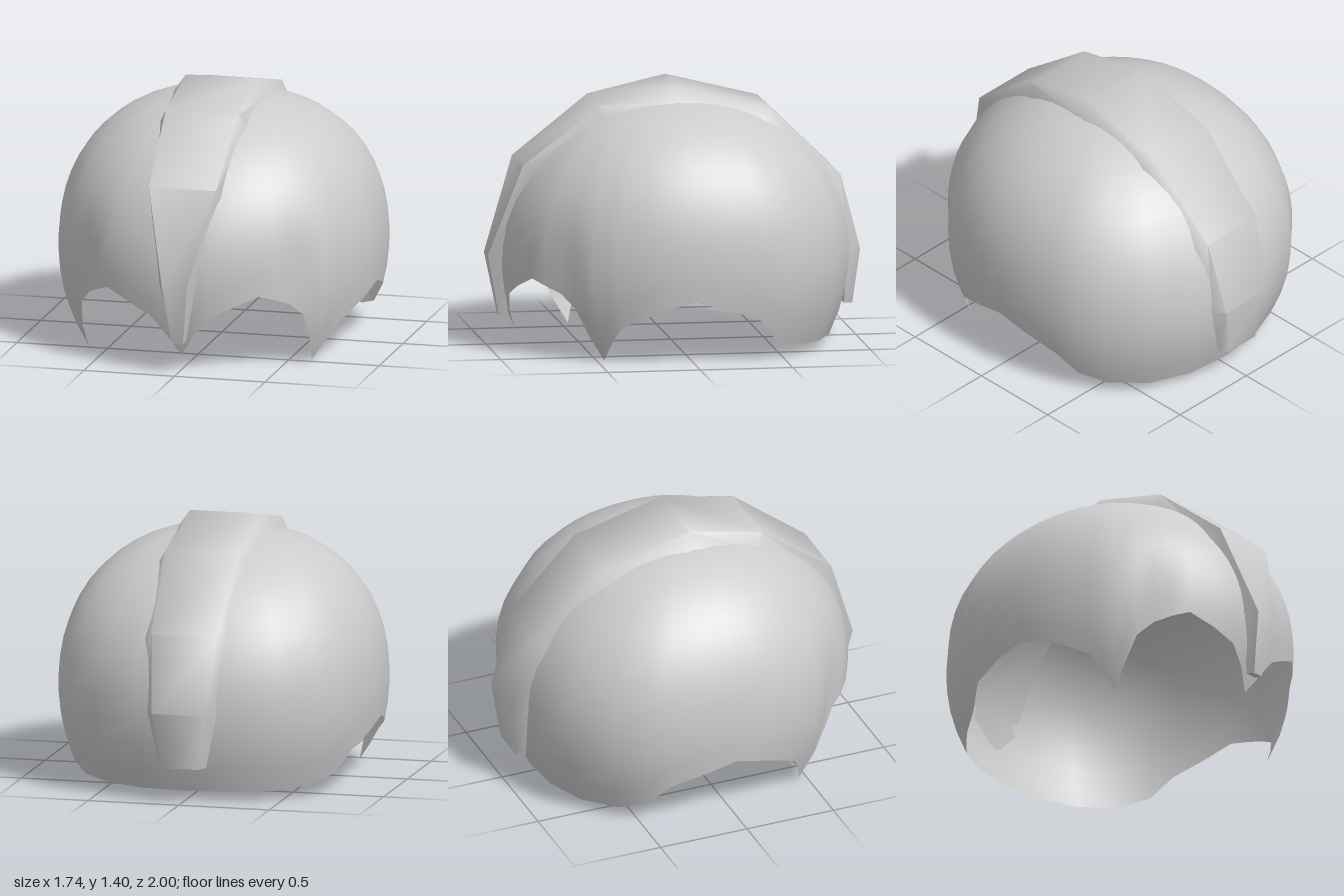
import * as THREE from 'three';
import { toCreasedNormals } from 'three/addons/utils/BufferGeometryUtils.js';

const TOP = 1.34, MID = 0.5;

// Surface grid from rows of points; wrap closes each row into a loop
function gridIndex(cols, rows) {
  const index = [];
  for (let j = 0; j < rows - 1; j++) {
    for (let i = 0; i < cols; i++) {
      const n = (i + 1) % cols;
      const a = j * cols + i, b = j * cols + n, c = b + cols, d = a + cols;
      index.push(a, b, c, a, c, d);
    }
  }
  return index;
}

function makeGeometry(positions, index) {
  const g = new THREE.BufferGeometry();
  g.setAttribute('position', new THREE.Float32BufferAttribute(positions, 3));
  g.setIndex(index);
  g.computeVertexNormals();
  return g;
}

// Radius of the shell at a heading (0 = front, 90 = side) and height
function shellRadius(deg, y) {
  const a = THREE.MathUtils.degToRad(deg);
  const s = Math.abs(Math.sin(a)), c = Math.abs(Math.cos(a));
  const front = deg < 90;
  let fx, fz;
  if (y > MID) {
    const h = Math.min(1, (y - MID) / (TOP - MID));
    fx = Math.pow(1 - Math.pow(h, 2.3), 1 / 2.3);
    fz = Math.pow(1 - Math.pow(h, 2.05), 1 / 2.05);
  } else {
    fx = fz = 1 - 0.55 * (MID - y) ** 2;
  }
  const rx = 0.868 * fx + 1e-4, rz = (front ? 0.935 : 0.945) * fz + 1e-4;
  const n = front ? 2 : 2.4;
  const r = Math.pow(Math.pow(s / rx, n) + Math.pow(c / rz, n), -1 / n);
  // Shallow fold running up from the gap beside each side point
  const fold = 0.03 * Math.exp(-(((deg - 41) / 7) ** 2)) * Math.exp(-(((y - 0.5) / 0.25) ** 2));
  return r - fold;
}

// Open shell with a pointed rim
function shellGeometry() {
  // heading in degrees, rim height
  const half = [
    [0, 0.08], [5, 0.2], [10, 0.3], [18, 0.36], [27, 0.42], [33, 0.39], [39, 0.355],
    [45, 0.28], [49, 0.14], [53.3, 0], [58, 0.1], [62.5, 0.19], [71, 0.25], [80, 0.3],
    [90, 0.34], [102, 0.29], [114, 0.23], [122, 0.11], [133, 0.06], [148, 0.05],
    [164, 0.048], [180, 0.048],
  ];
  const rim = half.map(([d, y]) => [d, y, 1]);
  for (let i = half.length - 2; i > 0; i--) rim.push([half[i][0], half[i][1], -1]);

  const rows = 17, positions = [];
  for (let j = 0; j < rows; j++) {
    const t = Math.sin((j / (rows - 1)) * Math.PI / 2);
    for (const [deg, low, side] of rim) {
      const y = low + (TOP - low) * t;
      const r = shellRadius(deg, y), a = THREE.MathUtils.degToRad(deg);
      positions.push(side * r * Math.sin(a), y, r * Math.cos(a));
    }
  }
  return makeGeometry(positions, gridIndex(rim.length, rows));
}

// Raised band from front tip over the crown to the back
function bandGeometry() {
  // z, y, half width on top, half width at the edge, thickness
  const path = [
    [0.935, 0.16, 0.03, 0.036, 0.05],
    [1.0, 0.49, 0.07, 0.1, 0.07],
    [0.83, 0.99, 0.185, 0.2, 0.08],
    [0.42, 1.31, 0.2, 0.24, 0.08],
    [0, 1.405, 0.2, 0.255, 0.08],
    [-0.5, 1.28, 0.2, 0.25, 0.08],
    [-0.89, 0.9, 0.18, 0.24, 0.08],
    [-1.0, 0.49, 0.15, 0.19, 0.07],
    [-0.965, 0.19, 0.1, 0.13, 0.05],
  ];
  const positions = [];
  path.forEach(([z, y, top, edge, thick], j) => {
    const p = path[Math.max(0, j - 1)], q = path[Math.min(path.length - 1, j + 1)];
    const dz = q[0] - p[0], dy = q[1] - p[1], len = Math.hypot(dz, dy);
    const iz = z - (dy / len) * thick, iy = y + (dz / len) * thick;
    positions.push(-edge, iy, iz, -top, y, z, top, y, z, edge, iy, iz);
  });
  const index = gridIndex(4, path.length);
  const e = (path.length - 1) * 4;
  index.push(0, 2, 1, 0, 3, 2, e, e + 1, e + 2, e, e + 2, e + 3);
  return toCreasedNormals(makeGeometry(positions, index), 1.1);
}

export function createModel() {
  const grey = new THREE.MeshStandardMaterial({ color: 0xcccccc, side: THREE.DoubleSide });
  grey.name = 'light grey';

  const model = new THREE.Group();
  model.name = 'cap';
  const parts = { shell: shellGeometry(), centreBand: bandGeometry() };
  for (const [name, geometry] of Object.entries(parts)) {
    const mesh = new THREE.Mesh(geometry, grey);
    mesh.name = name;
    model.add(mesh);
  }
  return model;
}
